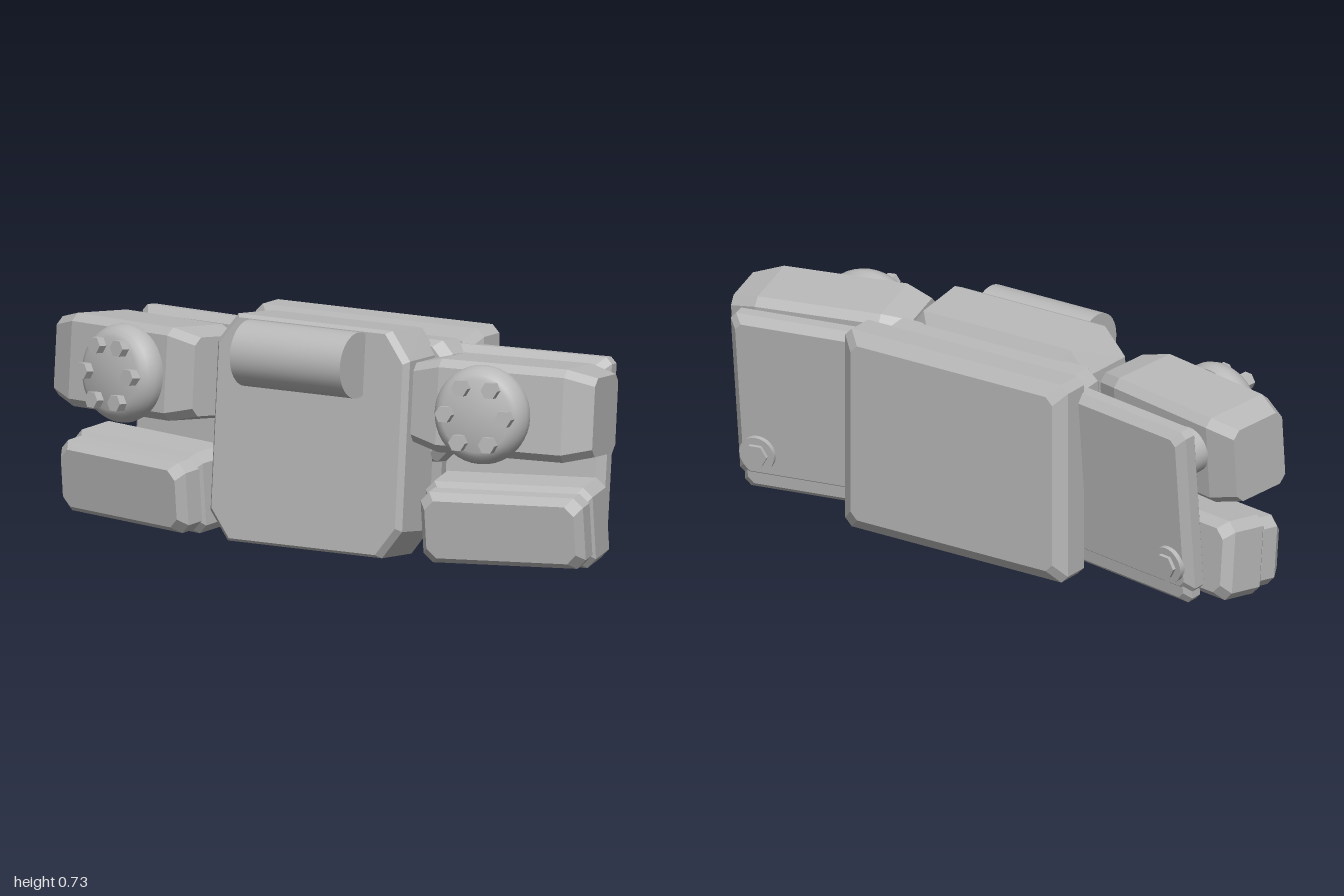
import * as THREE from 'three';
import { ConvexGeometry } from 'three/addons/geometries/ConvexGeometry.js';
import { toCreasedNormals } from 'three/addons/utils/BufferGeometryUtils.js';

// Convex body from octagonal sections [z, halfWidth, halfHeight, cutX, cutY]
function loft(sections) {
  const pts = [];
  for (const [z, w, h, cx, cy] of sections)
    for (const sx of [-1, 1])
      for (const sy of [-1, 1]) {
        pts.push(new THREE.Vector3(sx * w, sy * (h - cy), z));
        pts.push(new THREE.Vector3(sx * (w - cx), sy * h, z));
      }
  return new ConvexGeometry(pts);
}

// Box with chamfered edges: c trims the corners, bz is the depth of the face bevel
function bevelBox(w, h, d, c, inset, bz) {
  const a = w / 2, b = h / 2, z = d / 2;
  return loft([
    [-z, a - inset, b - inset, c, c], [-z + bz, a, b, c, c],
    [z - bz, a, b, c, c], [z, a - inset, b - inset, c, c],
  ]);
}

export function createModel() {
  const model = new THREE.Group();
  model.name = 'armourBlock';
  const grey = new THREE.MeshStandardMaterial({ color: 0xb8b8b8 });
  grey.name = 'grey';

  const add = (parent, name, geo, pos, rot = [0, 0, 0]) => {
    const m = new THREE.Mesh(geo, grey);
    m.name = name;
    m.position.set(...pos);
    m.rotation.set(...rot);
    parent.add(m);
    return m;
  };
  const group = (name, pos, rot) => {
    const g = new THREE.Group();
    g.name = name;
    g.position.set(...pos);
    g.rotation.set(...rot);
    model.add(g);
    return g;
  };
  const lean = -0.087;

  // Central body
  add(model, 'backPlate', bevelBox(0.85, 0.675, 0.15, 0.025, 0.04, 0.03), [0, 0.372, -0.235]);
  add(model, 'middleBlock', bevelBox(0.78, 0.385, 0.15, 0.04, 0.02, 0.03), [0, 0.49, -0.095], [lean, 0, 0]);
  add(model, 'frontPanel', loft([
    [-0.13, 0.28, 0.3, 0.04, 0.05],
    [-0.09, 0.34, 0.358, 0.06, 0.08],
    [0.095, 0.357, 0.36, 0.07, 0.09],
    [0.115, 0.342, 0.35, 0.07, 0.09],
  ]), [0, 0.373, 0.065], [lean, 0, 0]);
  add(model, 'frontRoll', new THREE.CylinderGeometry(0.105, 0.105, 0.41, 40),
    [-0.005, 0.632, 0.197], [0, 0, Math.PI / 2]);

  // Shared shapes for both sides
  const wingGeo = loft([
    [-0.305, 0.105, 0.125, 0.025, 0.025], [-0.21, 0.135, 0.148, 0.025, 0.025],
    [0.21, 0.135, 0.148, 0.025, 0.025], [0.305, 0.105, 0.125, 0.025, 0.025],
  ]).rotateY(Math.PI / 2);
  const discGeo = toCreasedNormals(new THREE.LatheGeometry([
    [0, 0], [0.15, 0], [0.157, 0.025], [0.155, 0.045], [0.145, 0.068], [0.13, 0.083], [0.115, 0.09], [0, 0.09],
  ].map(p => new THREE.Vector2(...p)), 40), 0.6).rotateX(Math.PI / 2);
  const hexGeo = (r, len) => new THREE.CylinderGeometry(r, r, len, 6).toNonIndexed()
    .rotateY(Math.PI / 6).rotateX(Math.PI / 2);
  const boltGeo = toCreasedNormals(hexGeo(0.028, 0.05), 0.4);
  const backHexGeo = toCreasedNormals(hexGeo(0.04, 0.02), 0.4);
  const roundGeo = (r, len) => new THREE.CylinderGeometry(r, r, len, 32).rotateX(Math.PI / 2);

  for (const s of [1, -1]) {
    const side = s > 0 ? 'left' : 'right';

    // Upper wing with bolted disc
    const wing = group(side + 'Wing', [s * 0.683, 0.52, 0.038], [lean, s * 0.21, 0]);
    add(wing, side + 'WingBody', wingGeo, [0, 0, 0]);
    add(wing, side + 'Disc', discGeo, [-s * 0.048, -0.012, 0.128]);
    for (let i = 0; i < 6; i++) {
      const a = i * Math.PI / 3;
      add(wing, side + 'DiscBolt', boltGeo,
        [-s * 0.048 + 0.1 * Math.cos(a), -0.012 + 0.1 * Math.sin(a), 0.223]);
    }

    // Lower pads, stacked front to back
    const pads = group(side + 'LowerPads', [s * 0.677, 0.158, 0.01], [0.1, s * 0.21, 0]);
    add(pads, side + 'RearPad', bevelBox(0.56, 0.262, 0.18, 0.03, 0.025, 0.03), [0, 0, 0]);
    add(pads, side + 'FrontPad', bevelBox(0.545, 0.23, 0.12, 0.03, 0.022, 0.03), [0, 0, 0.1]);

    // Rear side plate with lower lip, pivot and bolt
    const rear = group(side + 'RearPlate', [s * 0.595, 0.375, -0.18], [-0.1, s * 0.165, 0]);
    add(rear, side + 'RearPlateBody', bevelBox(0.56, 0.57, 0.088, 0.02, 0.025, 0.025), [0, 0, 0]);
    add(rear, side + 'RearPlateLip', bevelBox(0.53, 0.15, 0.075, 0.02, 0.02, 0.02), [0, -0.25, -0.002]);
    add(rear, side + 'Pivot', roundGeo(0.075, 0.1), [s * 0.18, 0.15, 0.06]);
    add(rear, side + 'RearWasher', roundGeo(0.06, 0.03), [s * 0.2, -0.19, -0.045]);
    add(rear, side + 'RearBolt', backHexGeo, [s * 0.2, -0.19, -0.062]);
  }
  return model;
}
